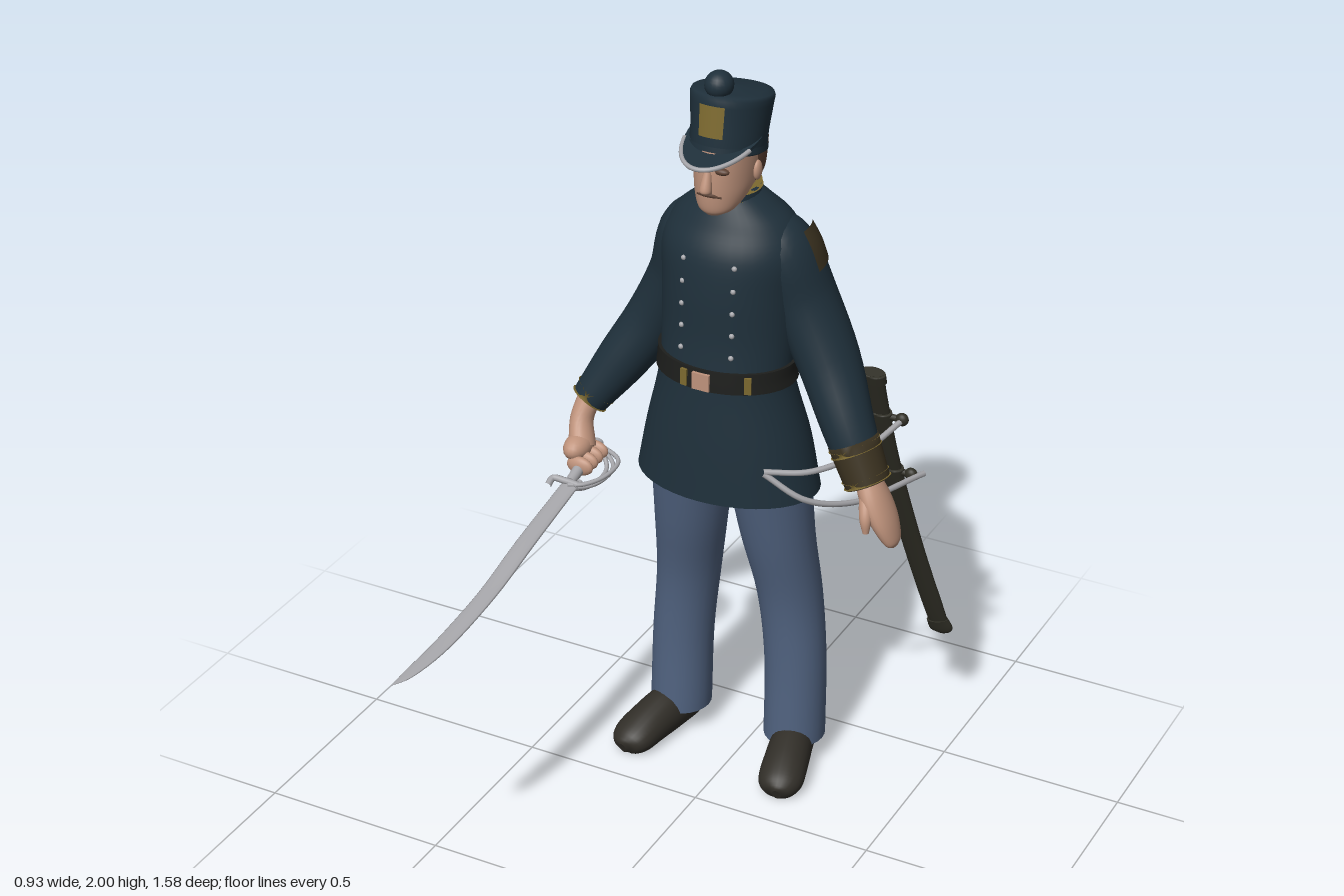
import * as THREE from 'three';

const paint = (name, color) => {
  const m = new THREE.MeshStandardMaterial({ color });
  m.name = name;
  return m;
};
const MID = -0.035; // x of the body's centre line

// Loft through stations [x, y, z, radiusU, radiusV]. Options: flat = level rings,
// ref = frame reference axis, arc = [from, to] for an open strip, floor = clamp at y = 0
function loft(stations, { flat = false, ref = [0, 0, 1], n = 24, steps = 5, arc = null, floor = false } = {}) {
  const centre = new THREE.CatmullRomCurve3(stations.map(s => new THREE.Vector3(s[0], s[1], s[2])), false, 'catmullrom');
  const radii = new THREE.CatmullRomCurve3(stations.map(s => new THREE.Vector3(s[3], s[4], 0)), false, 'catmullrom');
  const rows = (stations.length - 1) * steps, cols = arc ? n + 1 : n;
  const [a0, a1] = arc || [0, Math.PI * 2];
  const axis = new THREE.Vector3(...ref), pos = [], idx = [];
  for (let i = 0; i <= rows; i++) {
    const c = centre.getPoint(i / rows), r = radii.getPoint(i / rows);
    const t = centre.getTangent(i / rows);
    if (flat) t.set(0, Math.sign(t.y), 0);
    const u = axis.clone().cross(t).normalize(), v = t.clone().cross(u);
    for (let j = 0; j < cols; j++) {
      const a = a0 + (a1 - a0) * j / n;
      const p = c.clone().addScaledVector(u, r.x * Math.cos(a)).addScaledVector(v, r.y * Math.sin(a));
      pos.push(p.x, floor ? Math.max(0, p.y) : p.y, p.z);
    }
  }
  for (let i = 0; i < rows; i++) for (let j = 0; j < n; j++) {
    const a = i * cols + j, b = i * cols + (j + 1) % cols;
    idx.push(a, b, b + cols, a, b + cols, a + cols);
  }
  // flat end caps with their own vertices
  if (!arc) for (const row of [0, rows]) {
    const start = pos.length / 3, c = new THREE.Vector3();
    for (let j = 0; j < n; j++) {
      const k = (row * n + j) * 3;
      c.add(new THREE.Vector3(pos[k], pos[k + 1], pos[k + 2]));
      pos.push(pos[k], pos[k + 1], pos[k + 2]);
    }
    c.divideScalar(n);
    pos.push(c.x, c.y, c.z);
    for (let j = 0; j < n; j++) {
      const a = start + j, b = start + (j + 1) % n;
      idx.push(...(row ? [a, b, start + n] : [b, a, start + n]));
    }
  }
  const g = new THREE.BufferGeometry();
  g.setAttribute('position', new THREE.Float32BufferAttribute(pos, 3));
  g.setIndex(idx);
  g.computeVertexNormals();
  return g;
}

// Coat outline, hem to neck: y, centre z, half width, half depth
const COAT = [[0.86, -0.255, 0.25, 0.172], [1.0, -0.253, 0.222, 0.163], [1.13, -0.243, 0.188, 0.143],
  [1.2, -0.24, 0.177, 0.135], [1.3, -0.257, 0.18, 0.143], [1.42, -0.272, 0.185, 0.155],
  [1.52, -0.277, 0.188, 0.148], [1.59, -0.28, 0.158, 0.12], [1.635, -0.272, 0.11, 0.092], [1.665, -0.266, 0.07, 0.072]];
function coatAt(y, grow = 0) {
  const i = Math.max(0, COAT.findIndex((s, k) => k === COAT.length - 2 || y <= COAT[k + 1][0]));
  const f = (y - COAT[i][0]) / (COAT[i + 1][0] - COAT[i][0]);
  const [z, rx, rz] = [1, 2, 3].map(k => THREE.MathUtils.lerp(COAT[i][k], COAT[i + 1][k], f));
  return [MID, y, z, rx + grow, rz + grow];
}
const coatFront = (x, y) => {
  const [cx, , z, rx, rz] = coatAt(y);
  return z + rz * Math.sqrt(1 - ((x - cx) / rx) ** 2);
};

export function createModel() {
  const model = new THREE.Group();
  const navy = paint('navy cloth', 0x1f303b), blue = paint('blue trousers', 0x50627f);
  const boot = paint('boot leather', 0x312e28), olive = paint('scabbard leather', 0x2f2e25);
  const gold = paint('gold braid', 0x7d6a30), skin = paint('skin', 0xbf937c);
  const brown = paint('hair brown', 0x5e4335), silver = paint('steel', 0xa6a6aa);
  const black = paint('belt black', 0x1d1e1c), umber = paint('dark umber', 0x3b3220);

  const add = (name, geo, mat, parent = model) => {
    const m = new THREE.Mesh(geo, mat);
    m.name = name;
    parent.add(m);
    return m;
  };
  const ball = (name, mat, p, s, parent) => {
    const m = add(name, new THREE.SphereGeometry(1, 20, 14), mat, parent);
    m.position.set(...p);
    m.scale.set(...s);
    return m;
  };
  const tube = (name, pts, r, mat) => add(name, new THREE.TubeGeometry(
    new THREE.CatmullRomCurve3(pts.map(p => new THREE.Vector3(...p))), 28, r, 8), mat);

  // Coat, collar and belt
  add('coat', loft(COAT.map(s => [MID, s[0], s[1], s[2], s[3]]), { flat: true, n: 40 }), navy);
  add('collar', loft([[MID, 1.63, -0.266, 0.078, 0.083], [MID, 1.675, -0.262, 0.071, 0.076]], { flat: true }), navy);
  for (const y of [1.645, 1.675])
    add('collarBraid', loft([[MID, y, -0.263, 0.076, 0.081], [MID, y + 0.012, -0.262, 0.074, 0.079]], { flat: true, steps: 1 }), gold);
  add('belt', loft([1.175, 1.2, 1.23].map(y => coatAt(y, 0.008)), { flat: true, n: 40 }), black);
  const plate = (name, x, y, w, h, mat) => {
    const m = add(name, new THREE.BoxGeometry(w, h, 0.009), mat);
    m.position.set(x, y, coatFront(x, y) + 0.009);
    m.rotation.y = (x - MID) * 3;
  };
  plate('buckle', MID, 1.2, 0.048, 0.046, skin);
  for (const x of [-0.085, 0.08]) plate('beltFitting', x, 1.2, 0.018, 0.045, gold);
  // Level rings going up: the angle of the wearer's left front is 1.9 to 2.7
  add('skirtPatch', loft([0.93, 1.0, 1.09].map(y => coatAt(y, 0.005)), { flat: true, arc: [-2.65, -2.25] }), umber);
  for (const x of [-0.105, 0.035]) for (let y = 1.27; y < 1.53; y += 0.06)
    ball('button', silver, [x, y, coatFront(x, y)], [0.007, 0.007, 0.006]);

  // Arms
  const rightArm = [[-0.12, 1.575, -0.28, 0.06, 0.07], [-0.16, 1.51, -0.29, 0.083, 0.095], [-0.2, 1.38, -0.312, 0.083, 0.095],
    [-0.27, 1.24, -0.31, 0.078, 0.088], [-0.35, 1.11, -0.265, 0.068, 0.072], [-0.42, 1.0, -0.215, 0.05, 0.05]];
  const leftArm = [[0.05, 1.575, -0.28, 0.06, 0.07], [0.095, 1.51, -0.29, 0.083, 0.095], [0.145, 1.38, -0.31, 0.083, 0.095],
    [0.22, 1.23, -0.3, 0.078, 0.09], [0.3, 1.08, -0.255, 0.067, 0.07], [0.365, 0.95, -0.235, 0.054, 0.058]];
  add('rightSleeve', loft(rightArm), navy);
  add('leftSleeve', loft(leftArm), navy);
  add('shoulderPatch', loft([[0.085, 1.56, -0.287, 0.083, 0.092], [0.103, 1.51, -0.291, 0.09, 0.101], [0.118, 1.46, -0.298, 0.09, 0.101]],
    { arc: [-0.75, 0.25] }), umber);
  add('leftCuff', loft([[0.316, 1.048, -0.25, 0.066, 0.069], [0.367, 0.945, -0.235, 0.058, 0.062]]), umber);
  for (const [x, y, r] of [[0.32, 1.04, 0.068], [0.358, 0.965, 0.063]])
    add('leftCuffBraid', loft([[x, y, -0.248 + (1.04 - y) * 0.15, r, r + 0.003], [x + 0.008, y - 0.016, -0.246 + (1.04 - y) * 0.15, r, r + 0.002]], { steps: 1 }), gold);
  add('rightCuffBraid', loft([[-0.408, 1.02, -0.224, 0.056, 0.056], [-0.422, 0.997, -0.213, 0.053, 0.053]], { steps: 1 }), gold);

  // Left hand hangs open
  add('leftHand', loft([[0.36, 0.97, -0.235, 0.03, 0.035], [0.392, 0.91, -0.228, 0.034, 0.053],
    [0.422, 0.855, -0.225, 0.029, 0.052], [0.445, 0.805, -0.225, 0.018, 0.035], [0.452, 0.79, -0.225, 0.006, 0.015]]), skin);
  add('leftThumb', loft([[0.375, 0.93, -0.205, 0.017, 0.017], [0.39, 0.88, -0.175, 0.016, 0.016], [0.395, 0.84, -0.168, 0.008, 0.008]]), skin);

  // Right hand grips the sabre
  add('rightWrist', loft([[-0.42, 1.01, -0.22, 0.032, 0.034], [-0.43, 0.95, -0.185, 0.03, 0.034], [-0.41, 0.89, -0.15, 0.034, 0.04]]), skin);
  ball('rightPalm', skin, [-0.415, 0.895, -0.14], [0.036, 0.034, 0.055]);
  for (let i = 0; i < 4; i++)
    ball('rightFinger', skin, [-0.388, 0.872 - i * 0.003, -0.178 + i * 0.027], [0.038, 0.026, 0.0155]);

  // Sabre
  const alongZ = { ref: [0, 1, 0] };
  add('sabreGrip', loft([[-0.395, 0.875, -0.21, 0.014, 0.014], [-0.39, 0.865, -0.13, 0.016, 0.016], [-0.385, 0.845, -0.04, 0.014, 0.014]], alongZ), silver);
  add('sabreBlade', loft([[-0.384, 0.842, -0.06, 0.024, 0.007], [-0.378, 0.795, 0.2, 0.026, 0.007], [-0.372, 0.755, 0.4, 0.025, 0.006],
    [-0.379, 0.722, 0.6, 0.024, 0.005], [-0.396, 0.705, 0.73, 0.017, 0.004], [-0.411, 0.7, 0.79, 0.001, 0.001]], { ...alongZ, n: 12 }), silver);
  for (const [out, drop] of [[0.075, 0], [0.06, 0.02], [0.04, 0.032]])
    tube('sabreGuardBar', [[-0.39, 0.872, -0.205], [-0.39 + out, 0.862 - drop, -0.17], [-0.388 + out, 0.852 - drop, -0.1],
      [-0.39 + out * 0.55, 0.845 - drop * 0.6, -0.045], [-0.385, 0.845, -0.025]], 0.006, silver);
  tube('sabreQuillon', [[-0.36, 0.845, -0.035], [-0.4, 0.848, -0.035], [-0.43, 0.85, -0.03], [-0.432, 0.84, -0.005]], 0.009, silver);

  // Trousers and boots, mirrored about the centre line
  for (const [side, s] of [['left', 1], ['right', -1]]) {
    add(side + 'Trouser', loft([[0.172, 0.07, -0.315, 0.083, 0.085], [0.168, 0.3, -0.322, 0.083, 0.083], [0.15, 0.5, -0.32, 0.086, 0.09],
      [0.126, 0.7, -0.288, 0.098, 0.1], [0.108, 0.92, -0.263, 0.112, 0.115]].map(([d, ...r]) => [MID + s * d, ...r]), { flat: true }), blue);
    add(side + 'Boot', loft([[0.165, 0.05, -0.387, 0.025, 0.04], [0.168, 0.055, -0.365, 0.048, 0.06], [0.185, 0.06, -0.28, 0.056, 0.068],
      [0.205, 0.05, -0.2, 0.06, 0.06], [0.222, 0.035, -0.13, 0.06, 0.046], [0.23, 0.025, -0.098, 0.042, 0.032],
      [0.232, 0.02, -0.086, 0.012, 0.018]].map(([d, ...r]) => [MID + s * d, ...r]), { ...alongZ, floor: true }), boot);
  }

  // Head
  add('neck', loft([[MID, 1.62, -0.27, 0.06, 0.062], [MID, 1.72, -0.255, 0.058, 0.062]], { flat: true }), skin);
  add('face', loft([[MID, 1.637, -0.17, 0.022, 0.024], [MID, 1.652, -0.185, 0.048, 0.051], [MID, 1.69, -0.218, 0.067, 0.09],
    [MID, 1.74, -0.237, 0.075, 0.11], [MID, 1.81, -0.242, 0.079, 0.11]], { flat: true, n: 32 }), skin);
  add('hair', loft([[MID, 1.69, -0.285, 0.058, 0.052], [MID, 1.73, -0.278, 0.076, 0.075], [MID, 1.8, -0.272, 0.084, 0.086]], { flat: true }), brown);
  add('nose', loft([[MID, 1.705, -0.125, 0.013, 0.014], [MID, 1.718, -0.12, 0.015, 0.016], [MID, 1.765, -0.132, 0.009, 0.01]], { flat: true }), skin);
  add('moustache', loft([[MID - 0.033, 1.692, -0.142, 0.003, 0.004], [MID, 1.7, -0.129, 0.007, 0.007], [MID + 0.033, 1.692, -0.142, 0.003, 0.004]], { n: 10 }), brown);
  for (const s of [-1, 1]) {
    ball('brow', brown, [MID + s * 0.032, 1.762, -0.141], [0.021, 0.009, 0.011]);
    ball('ear', skin, [MID + s * 0.078, 1.735, -0.245], [0.01, 0.026, 0.017]);
  }

  // Cap with peak, front plate and pompom
  const cap = new THREE.Group();
  cap.name = 'cap';
  cap.position.set(MID, 1.857, -0.251);
  cap.rotation.x = -0.18;
  cap.scale.z = 1.12;
  model.add(cap);
  const profile = [[0.001, -0.075], [0.089, -0.075], [0.093, -0.07], [0.094, -0.02], [0.1, 0.045], [0.102, 0.062], [0.098, 0.071], [0.08, 0.076], [0, 0.083]];
  add('capBody', new THREE.LatheGeometry(profile.map(p => new THREE.Vector2(...p)), 40), navy, cap);
  add('capBand', new THREE.CylinderGeometry(0.096, 0.096, 0.016, 40, 1, true), navy, cap).position.y = -0.062;
  add('capPlate', new THREE.CylinderGeometry(0.102, 0.097, 0.08, 10, 1, true, -0.34, 0.68), gold, cap).position.y = 0.008;
  ball('pompom', navy, [MID, 1.965, -0.19], [0.036, 0.035, 0.038]);
  const peak = new THREE.Group();
  peak.name = 'peak';
  peak.position.set(MID, 1.83, -0.235);
  peak.rotation.x = Math.PI / 2 + 0.22;
  model.add(peak);
  const outline = new THREE.Shape().absellipse(0, 0, 0.094, 0.168, 0, Math.PI);
  add('peakLeather', new THREE.ExtrudeGeometry(outline, { depth: 0.008, bevelEnabled: false, curveSegments: 28 }), navy, peak);
  const edge = new THREE.CatmullRomCurve3(Array.from({ length: 15 }, (_, i) => {
    const a = 0.35 + (Math.PI - 0.7) * i / 14;
    return new THREE.Vector3(0.094 * Math.cos(a), 0.168 * Math.sin(a), 0.004);
  }));
  add('peakTrim', new THREE.TubeGeometry(edge, 30, 0.006, 8), silver, peak);

  // Scabbard with bands, ring studs and slings
  add('scabbard', loft([[0.285, 1.15, -0.425, 0.031, 0.014], [0.284, 1.0, -0.482, 0.031, 0.014], [0.291, 0.8, -0.555, 0.031, 0.014],
    [0.318, 0.5, -0.667, 0.03, 0.013], [0.352, 0.25, -0.758, 0.029, 0.012], [0.362, 0.19, -0.78, 0.02, 0.008]]), olive);
  add('scabbardTip', loft([[0.353, 0.235, -0.763, 0.032, 0.014], [0.361, 0.2, -0.776, 0.034, 0.013], [0.363, 0.185, -0.781, 0.015, 0.006]]), olive);
  for (const [x, y, z] of [[0.285, 1.135, -0.431], [0.284, 1.0, -0.482], [0.291, 0.8, -0.555]])
    add('scabbardBand', loft([[x, y + 0.014, z + 0.005, 0.036, 0.019], [x, y - 0.014, z - 0.005, 0.036, 0.019]]), olive);
  for (const [y, z] of [[1.0, -0.482], [0.8, -0.555]]) {
    tube('ringStud', [[0.31, y, z], [0.345, y, z]], 0.009, olive);
    ball('ringKnob', olive, [0.347, y, z], [0.018, 0.018, 0.014]);
  }
  tube('upperSling', [[0.125, 0.965, -0.13], [0.22, 0.955, -0.2], [0.3, 0.965, -0.33], [0.35, 1.0, -0.485]], 0.008, silver);
  tube('lowerSling', [[0.125, 0.96, -0.13], [0.22, 0.89, -0.17], [0.3, 0.84, -0.29], [0.385, 0.815, -0.55]], 0.008, silver);
  return model;
}
